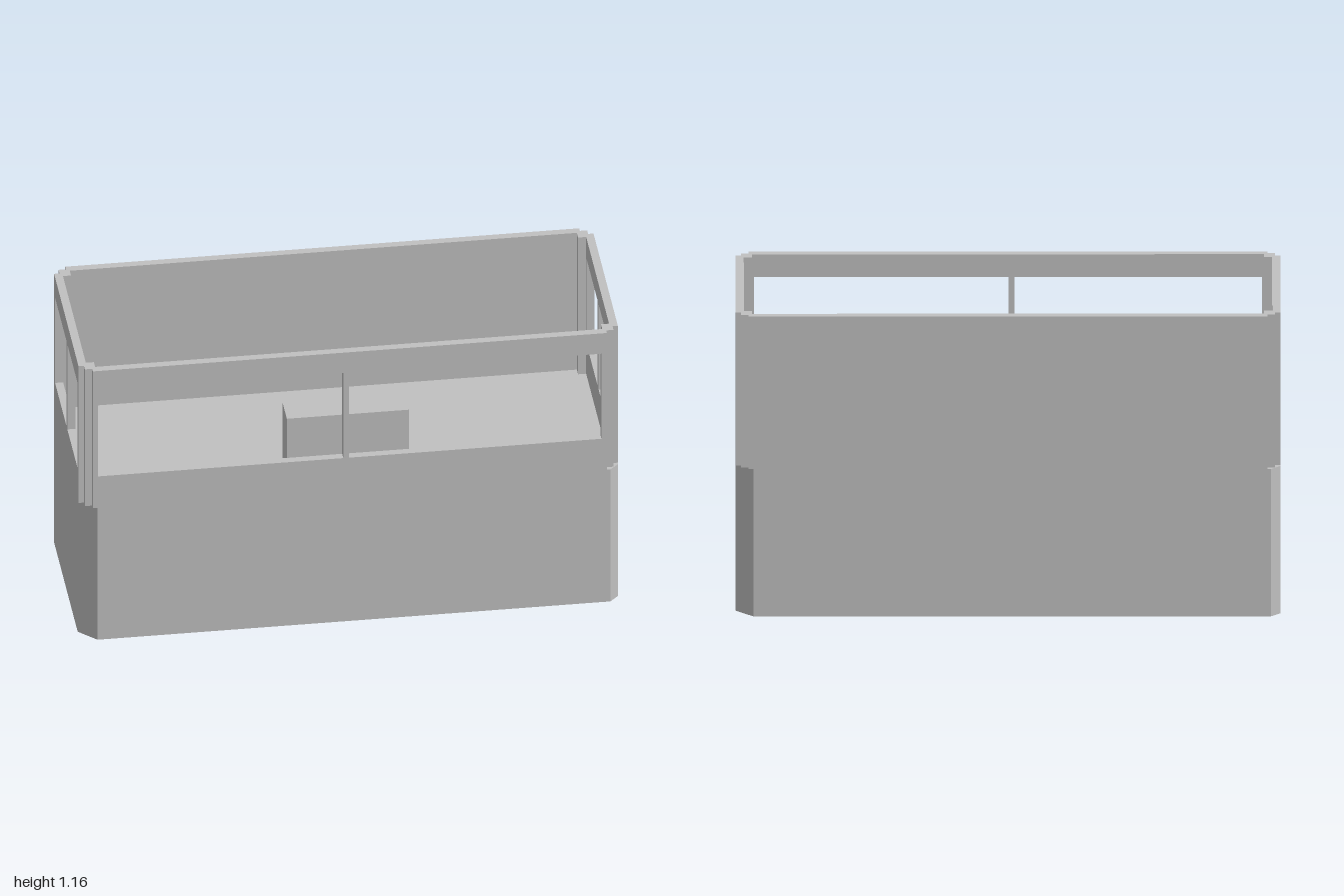
import * as THREE from 'three';

const HX = 1, HZ = 0.365, FLOOR = 0.572, TOP = 1.165;
const SILL = 0.708, LINTEL = 1.077, WALL = 0.03;
const POST_X = 0.94, POST_Z = 0.302;

const toShape = (pts) => new THREE.Shape(pts.map(([x, y]) => new THREE.Vector2(x, y)));

// Plan outline given as [x, z], extruded upward from y0 to y1
function prism(plan, y0, y1) {
  const shape = toShape(plan.map(([x, z]) => [x, -z]));
  const geo = new THREE.ExtrudeGeometry(shape, { depth: y1 - y0, bevelEnabled: false });
  return geo.rotateX(-Math.PI / 2).translate(0, y0, 0);
}

// Upright wall panel with window openings listed as [from, to]
function panel(half, windows) {
  const shape = toShape([[-half, FLOOR], [half, FLOOR], [half, TOP], [-half, TOP]]);
  for (const [a, b] of windows) {
    shape.holes.push(toShape([[a, SILL], [a, LINTEL], [b, LINTEL], [b, SILL]]));
  }
  return new THREE.ExtrudeGeometry(shape, { depth: WALL, bevelEnabled: false });
}

export function createModel() {
  const group = new THREE.Group();
  const grey = new THREE.MeshStandardMaterial({ color: 0xc0c0c0 });
  grey.name = 'grey';
  const add = (name, geo) => {
    const mesh = new THREE.Mesh(geo, grey);
    mesh.name = name;
    group.add(mesh);
  };

  // Solid lower body: small chamfers on one diagonal, large on the other
  const s = 0.034, l = 0.065;
  add('lowerBody', prism([
    [HX - s, HZ], [HX, HZ - s], [HX, -HZ + l], [HX - l, -HZ],
    [-HX + s, -HZ], [-HX, -HZ + s], [-HX, HZ - l], [-HX + l, HZ],
  ], 0, FLOOR));

  // Long walls: windowed front, plain back
  add('frontWall', panel(POST_X, [[-0.933, -0.024], [-0.003, 0.933]]).translate(0, 0, HZ - WALL));
  add('backWall', panel(POST_X, []).translate(0, 0, -HZ));

  // Short walls: two windows each, panel x runs along -z after turning
  for (const [name, x] of [['leftWall', HX - WALL], ['rightWall', -HX]]) {
    const geo = panel(POST_Z, [[-0.298, -0.028], [-0.003, 0.296]]);
    add(name, geo.rotateY(Math.PI / 2).translate(x, 0, 0));
  }

  // Stepped corner posts, mirrored to all four corners
  const post = [
    [POST_X, HZ], [0.953, HZ], [0.953, 0.347], [0.98, 0.347],
    [0.98, 0.322], [HX, 0.322], [HX, POST_Z], [POST_X, POST_Z],
  ];
  for (const sx of [1, -1]) {
    for (const sz of [1, -1]) {
      add('cornerPost', prism(post.map(([x, z]) => [sx * x, sz * z]), FLOOR, TOP));
    }
  }

  // Control console standing on the floor
  const h = 0.865 - FLOOR;
  add('console', new THREE.BoxGeometry(0.453, h, 0.12).translate(0, FLOOR + h / 2, 0.255));

  return group;
}
